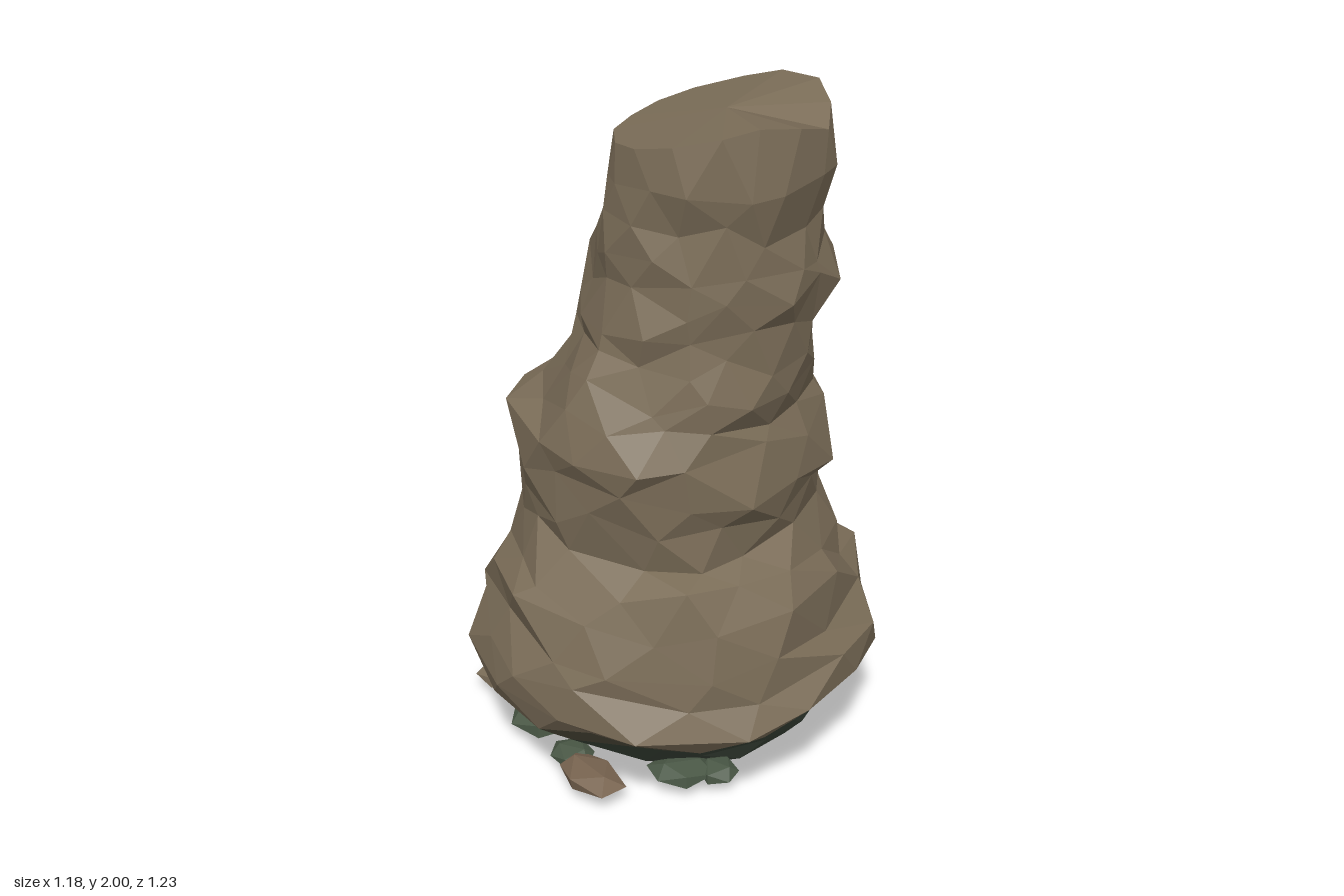
import * as THREE from 'three';

// small seeded generator
function seeded(seed) {
  let s = seed;
  return () => {
    s = (s * 16807) % 2147483647;
    return s / 2147483647;
  };
}

const material = (name, color) => {
  const m = new THREE.MeshStandardMaterial({ color });
  m.name = name;
  return m;
};

// rock outline per level: [y, xMin, xMax, zMin, zMax]
const LEVELS = [
  [0.025, -0.35, 0.34, -0.39, 0.27],
  [0.09, -0.48, 0.39, -0.47, 0.37],
  [0.19, -0.55, 0.45, -0.54, 0.50],
  [0.265, -0.575, 0.53, -0.585, 0.57],
  [0.335, -0.59, 0.60, -0.62, 0.62],
  [0.43, -0.56, 0.58, -0.59, 0.61],
  [0.52, -0.53, 0.55, -0.55, 0.58],
  [0.61, -0.50, 0.52, -0.51, 0.56],
  [0.71, -0.44, 0.47, -0.46, 0.54],
  [0.80, -0.42, 0.42, -0.43, 0.46],
  [0.89, -0.43, 0.43, -0.43, 0.48],
  [0.98, -0.43, 0.46, -0.42, 0.49],
  [1.08, -0.42, 0.43, -0.40, 0.51],
  [1.17, -0.38, 0.41, -0.36, 0.46],
  [1.26, -0.30, 0.43, -0.33, 0.42],
  [1.34, -0.23, 0.42, -0.32, 0.37],
  [1.43, -0.22, 0.43, -0.32, 0.37],
  [1.52, -0.21, 0.46, -0.35, 0.35],
  [1.61, -0.19, 0.44, -0.33, 0.34],
  [1.71, -0.15, 0.43, -0.30, 0.33],
  [1.83, -0.13, 0.46, -0.29, 0.33],
  [1.93, -0.11, 0.45, -0.27, 0.31],
];
const SIDES = 15;

// sloping broken top with a dip in its right rim
function topHeight(x, z) {
  const dip = 0.07 * Math.exp(-((x - 0.45) ** 2 + (z + 0.08) ** 2) / 0.015);
  return Math.min(2, 1.905 + 0.23 * (x + 0.1) - 0.1 * z) - dip;
}

// swelling at the foot's back corner, flattening on the front shoulder
function lobes(t, y) {
  const toward = (angle) => Math.max(0, Math.cos(t - angle)) ** 4;
  const foot = 0.06 * toward(4.06) * (y < 0.6 ? 1 : 0);
  const shoulder = 0.12 * toward(2.36) * Math.exp(-(((y - 1.2) / 0.08) ** 2));
  return 1 + foot - shoulder;
}

function rockGeometry() {
  const rand = seeded(4711);
  const last = LEVELS.length - 1;
  const rings = LEVELS.map(([y, x0, x1, z0, z1], i) => {
    const ring = [];
    const twist = (i % 2) * 0.5 + i * 0.13;
    const calm = i < 5 || i >= last - 1;
    for (let j = 0; j < SIDES; j++) {
      const t = ((j + twist + (rand() - 0.5) * 0.5) / SIDES) * Math.PI * 2;
      const r = (calm ? 0.97 + rand() * 0.05 : 0.925 + rand() * 0.1) * lobes(t, y);
      const x = (x0 + x1) / 2 + ((x1 - x0) / 2) * r * Math.cos(t);
      const z = (z0 + z1) / 2 + ((z1 - z0) / 2) * r * Math.sin(t);
      const lift = (rand() - 0.5) * (i === 0 ? 0.02 : calm ? 0.04 : 0.08);
      ring.push(new THREE.Vector3(x, i === last ? topHeight(x, z) : y + lift, z));
    }
    return ring;
  });

  const geo = new THREE.BufferGeometry();
  const pos = [];
  const tri = (...pts) => pts.forEach((p) => pos.push(p.x, p.y, p.z));
  let start = 0;
  const closeGroup = (materialIndex) => {
    const count = pos.length / 3 - start;
    geo.addGroup(start, count, materialIndex);
    start += count;
  };

  // underside
  const bottom = new THREE.Vector3(0, 0, -0.05);
  for (let j = 0; j < SIDES; j++) tri(bottom, rings[0][j], rings[0][(j + 1) % SIDES]);
  closeGroup(0);

  // walls, each quad split along its shorter diagonal
  for (let i = 0; i < last; i++) {
    for (let j = 0; j < SIDES; j++) {
      const k = (j + 1) % SIDES;
      const a = rings[i][j], b = rings[i][k], c = rings[i + 1][j], d = rings[i + 1][k];
      if (b.distanceTo(c) < a.distanceTo(d)) {
        tri(a, c, b);
        tri(b, c, d);
      } else {
        tri(a, c, d);
        tri(a, d, b);
      }
    }
    closeGroup(i < 2 ? 0 : i === 2 ? 1 : 2);
  }

  // broken top
  const peak = new THREE.Vector3(0.19, 1.975, 0.03);
  for (let j = 0; j < SIDES; j++) tri(peak, rings[last][(j + 1) % SIDES], rings[last][j]);
  closeGroup(2);

  geo.setAttribute('position', new THREE.Float32BufferAttribute(pos, 3));
  geo.computeVertexNormals();
  return geo;
}

// flat, irregular chip of stone
function pebbleGeometry(seed, w, h, d) {
  const rand = seeded(seed);
  const geo = new THREE.IcosahedronGeometry(1, 0);
  const p = geo.attributes.position;
  const scales = new Map();
  for (let i = 0; i < p.count; i++) {
    const key = [p.getX(i), p.getY(i), p.getZ(i)].map((v) => v.toFixed(2)).join();
    if (!scales.has(key)) scales.set(key, 1 + rand() * 0.25);
    const s = scales.get(key);
    p.setXYZ(i, p.getX(i) * s * w / 2, p.getY(i) * h / 2, p.getZ(i) * s * d / 2);
  }
  geo.computeVertexNormals();
  return geo;
}

export function createModel() {
  const model = new THREE.Group();
  model.name = 'rockPillar';

  const moss = material('dark moss green', 0x3a4438);
  const olive = material('olive brown', 0x524f3e);
  const brown = material('stone brown', 0x7b6d58);
  const russet = material('russet stone', 0x77634f);
  const green = material('mossy stone', 0x4a5846);

  const rock = new THREE.Mesh(rockGeometry(), [moss, olive, brown]);
  rock.name = 'rock';
  model.add(rock);

  // loose stones around the foot: [x, z, width, height, depth, turn, material]
  const pebbles = [
    [-0.5, 0.24, 0.16, 0.06, 0.11, 0.2, brown],
    [-0.24, 0.34, 0.2, 0.08, 0.15, 0.6, green],
    [-0.06, 0.41, 0.13, 0.06, 0.12, 0.3, green],
    [0.05, 0.46, 0.22, 0.07, 0.14, -0.2, russet],
    [0.24, 0.28, 0.18, 0.07, 0.14, 0.9, green],
    [0.32, 0.21, 0.12, 0.06, 0.11, 0.1, green],
    [0.26, -0.37, 0.15, 0.06, 0.11, 0.4, brown],
    [-0.53, 0.03, 0.13, 0.06, 0.11, 1.1, green],
  ];
  pebbles.forEach(([x, z, w, h, d, turn, mat], i) => {
    const stone = new THREE.Mesh(pebbleGeometry(101 + i * 977, w, h, d), mat);
    stone.name = `pebble${i + 1}`;
    stone.position.set(x, 0.03 + h / 2, z);
    stone.rotation.y = turn;
    model.add(stone);
  });

  return model;
}
